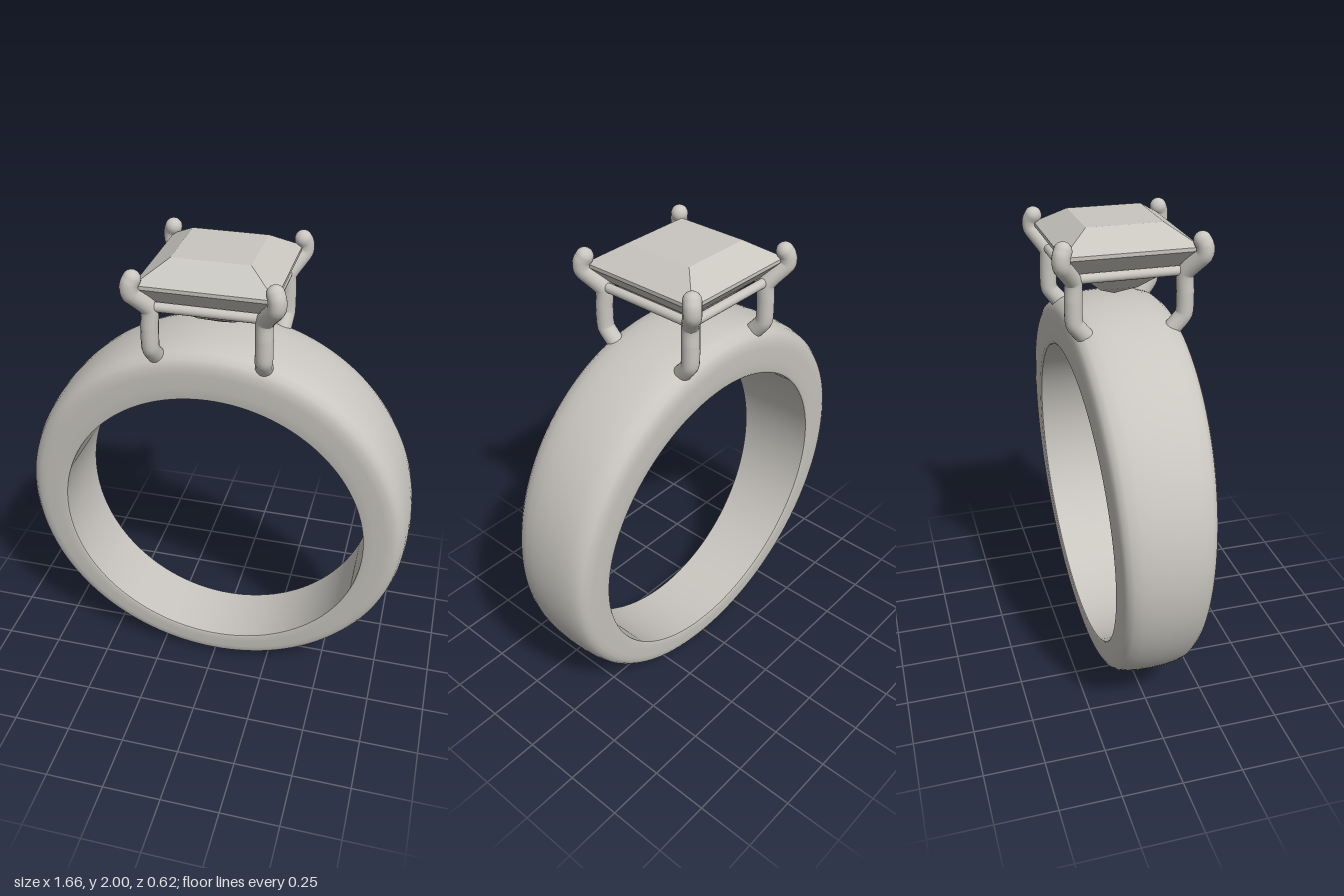
import * as THREE from 'three';

const metal = new THREE.MeshStandardMaterial({ color: 0xc9c6c0 });
metal.name = 'silverGrey';

function add(parent, name, geometry) {
  const mesh = new THREE.Mesh(geometry, metal);
  mesh.name = name;
  parent.add(mesh);
  return mesh;
}

// Sweeps a profile of [radial 0..1, lateral -1..1] points around the band.
// The hole sits lower than the rim, and the band widens towards the top.
function bandStrip(profile, steps = 128) {
  const n = profile.length, positions = [], index = [];
  for (let i = 0; i < steps; i++) {
    const a = (i / steps) * Math.PI * 2, s = Math.sin(a), c = Math.cos(a);
    for (const [u, w] of profile) {
      const r = THREE.MathUtils.lerp(0.655, 0.83, u);
      const y = THREE.MathUtils.lerp(0.79, 0.834, u) + r * c;
      positions.push(r * s, y, w * (0.142 + 0.05 * y));
    }
    const next = (i + 1) % steps;
    for (let j = 0; j < n - 1; j++) {
      const p = i * n + j, q = next * n + j;
      index.push(p, q, p + 1, q, q + 1, p + 1);
    }
  }
  const g = new THREE.BufferGeometry();
  g.setAttribute('position', new THREE.Float32BufferAttribute(positions, 3));
  g.setIndex(index);
  g.computeVertexNormals();
  return g;
}

// Square-cut stone: a four-sided lathe with flat facets.
function stoneGeometry() {
  const outline = [[0, 1.685], [0.075, 1.727], [0.2, 1.84], [0.265, 1.91],
    [0.265, 1.925], [0.152, 2], [0, 2]];
  const pts = outline.map(([h, y]) => new THREE.Vector2(h * Math.SQRT2, y));
  const g = new THREE.LatheGeometry(pts, 4).rotateY(Math.PI / 4).toNonIndexed();
  g.computeVertexNormals();
  return g;
}

export function createModel() {
  const model = new THREE.Group();
  model.name = 'ring';

  // Band: domed outside with flat sides, plus the plain inner wall
  const half = [[0, 0.97], [0.04, 1], [0.25, 1], [0.52, 1], [0.68, 0.985],
    [0.8, 0.93], [0.89, 0.82], [0.95, 0.62], [0.985, 0.35]];
  const mirrored = half.map(([u, w]) => [u, -w]).reverse();
  const band = new THREE.Group();
  band.name = 'band';
  model.add(band);
  add(band, 'bandOuter', bandStrip([...half, [1, 0], ...mirrored]));
  add(band, 'bandInner', bandStrip([[0, -0.97], [0, 0.97]]));

  add(model, 'stone', stoneGeometry());

  // Four claws with rounded ends
  const setting = new THREE.Group();
  setting.name = 'setting';
  model.add(setting);
  const radius = 0.035;
  for (const sx of [-1, 1]) {
    for (const sz of [-1, 1]) {
      const path = [[0.214, 1.595, 0.172], [0.221, 1.655, 0.218], [0.221, 1.74, 0.221],
        [0.221, 1.82, 0.221], [0.272, 1.895, 0.272], [0.275, 1.93, 0.275], [0.266, 1.952, 0.266]]
        .map(([x, y, z]) => new THREE.Vector3(x * sx, y, z * sz));
      const curve = new THREE.CatmullRomCurve3(path, false, 'catmullrom', 0.3);
      const claw = new THREE.Group();
      claw.name = 'claw';
      setting.add(claw);
      add(claw, 'clawWire', new THREE.TubeGeometry(curve, 48, radius, 16));
      for (const end of [path[0], path[path.length - 1]]) {
        add(claw, 'clawTip', new THREE.SphereGeometry(radius, 16, 12)).position.copy(end);
      }
    }
  }

  // Thin rails joining the claws under the stone
  for (let i = 0; i < 4; i++) {
    const rail = new THREE.CylinderGeometry(0.019, 0.019, 0.44, 16)
      .rotateZ(Math.PI / 2).translate(0, 1.828, 0.221).rotateY((i * Math.PI) / 2);
    add(setting, 'rail', rail);
  }
  return model;
}
